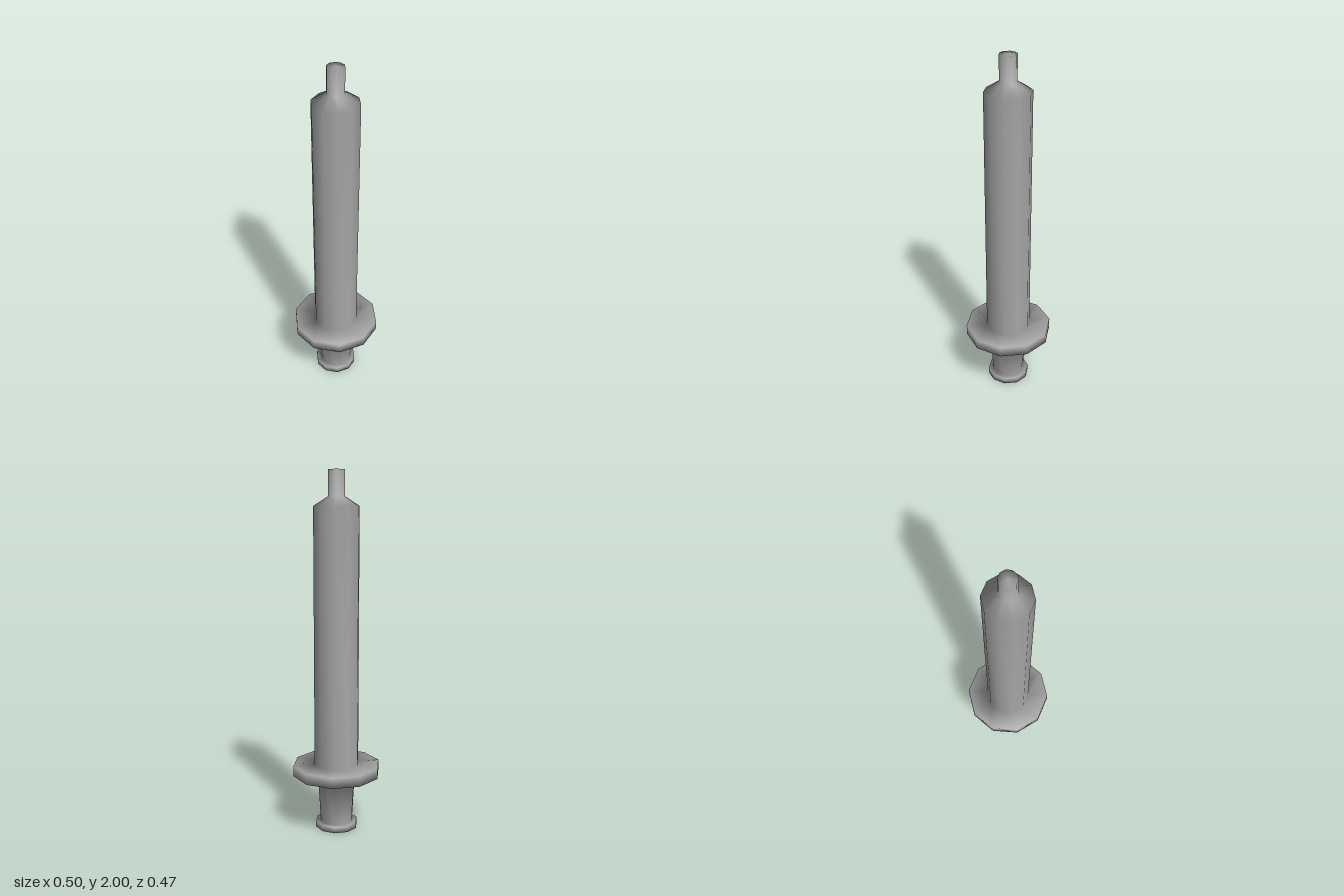
import * as THREE from 'three';
import { mergeVertices } from 'three/addons/utils/BufferGeometryUtils.js';

const SIDES = 10;

// Radius and height of each ring, from the base to the tip
const PROFILE = [
  [0, 0], [0.12, 0], [0.12, 0.035], [0.092, 0.035],
  [0.108, 0.315], [0.248, 0.315], [0.248, 0.375], [0.127, 0.375],
  [0.127, 1.81], [0.047, 1.86], [0.047, 2], [0, 2],
];

// Each part covers the profile bands from first up to (not including) end
const PARTS = [
  { name: 'thumbRest', first: 0, end: 3 },
  { name: 'plunger', first: 3, end: 4 },
  { name: 'fingerFlange', first: 4, end: 7 },
  { name: 'barrel', first: 7, end: 8 },
  { name: 'shoulder', first: 8, end: 9 },
  { name: 'nozzle', first: 9, end: 11 },
];

// One turned body with normals smoothed across every ring
function turnedBody() {
  const points = PROFILE.map(([r, y]) => new THREE.Vector2(r, y));
  let body = new THREE.LatheGeometry(points, SIDES);
  body.rotateY(Math.PI / 2);
  body.deleteAttribute('uv');
  body.deleteAttribute('normal');
  body = mergeVertices(body, 1e-4);
  body.computeVertexNormals();
  return body;
}

// Takes the faces of some bands, keeping the shared smooth normals
function bandGeometry(body, first, end) {
  const bands = PROFILE.length - 1;
  const all = Array.from(body.index.array);
  const index = [];
  for (let side = 0; side < SIDES; side++) {
    const start = side * bands;
    index.push(...all.slice((start + first) * 6, (start + end) * 6));
  }
  const geometry = new THREE.BufferGeometry();
  geometry.setAttribute('position', body.getAttribute('position'));
  geometry.setAttribute('normal', body.getAttribute('normal'));
  geometry.setIndex(index);
  return geometry.toNonIndexed();
}

export function createModel() {
  const model = new THREE.Group();
  model.name = 'syringe';

  const grey = new THREE.MeshStandardMaterial({ color: 0xa0a0a0 });
  grey.name = 'grey plastic';

  const body = turnedBody();
  for (const { name, first, end } of PARTS) {
    const mesh = new THREE.Mesh(bandGeometry(body, first, end), grey);
    mesh.name = name;
    model.add(mesh);
  }
  return model;
}
